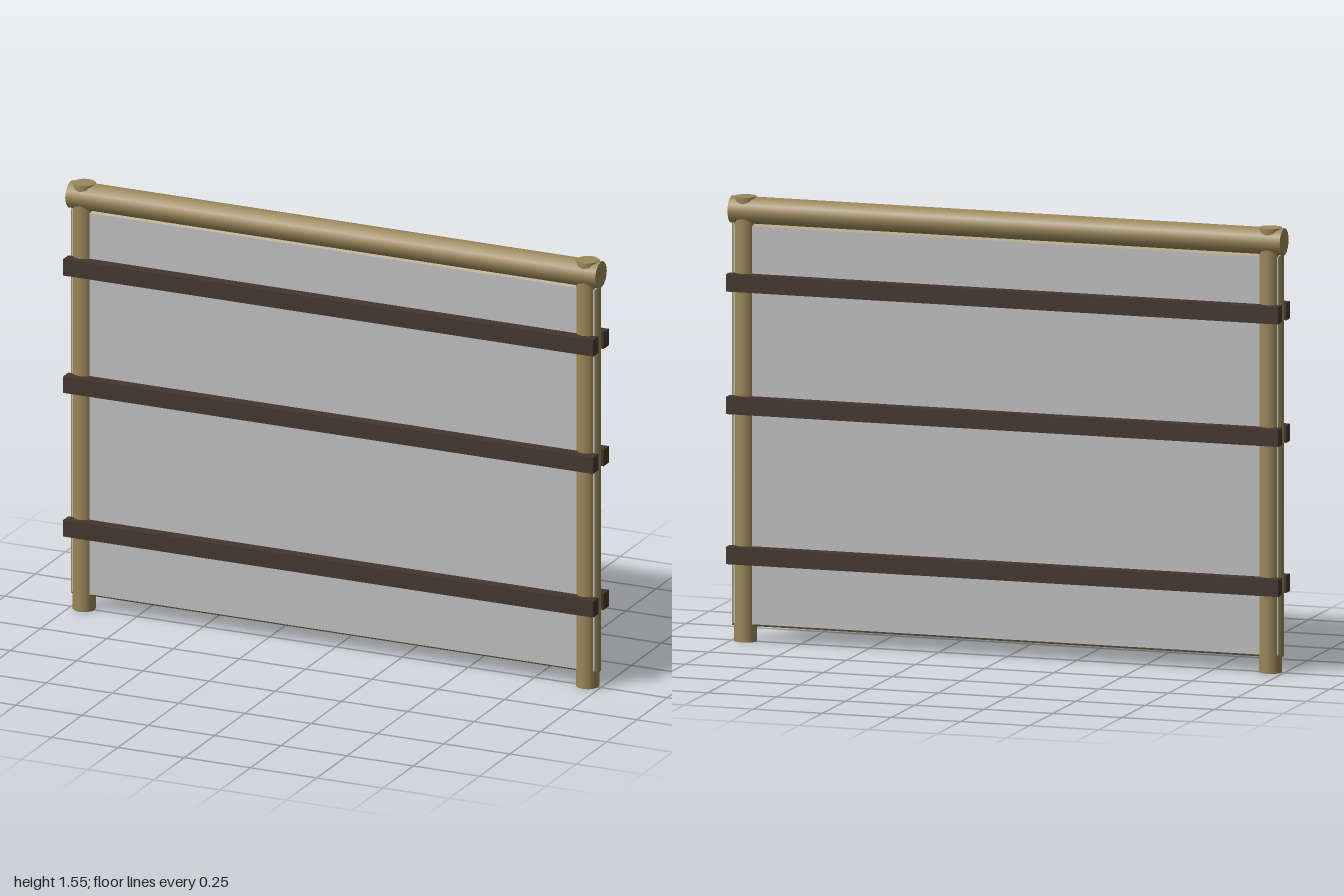
import * as THREE from 'three';

const material = (name, color) => {
  const m = new THREE.MeshStandardMaterial({ color });
  m.name = name;
  return m;
};

export function createModel() {
  const group = new THREE.Group();
  const wood = material('tan wood', 0x9b875a);
  const darkWood = material('dark wood', 0x45362f);
  const panelGrey = material('panel grey', 0xc0c0c0);

  const add = (name, geometry, mat, x, y, z) => {
    const mesh = new THREE.Mesh(geometry, mat);
    mesh.name = name;
    mesh.position.set(x, y, z);
    group.add(mesh);
    return mesh;
  };

  // round posts, standing on the ground
  const postGeometry = new THREE.CylinderGeometry(0.04, 0.04, 1.55, 12);
  for (const side of [-1, 1]) {
    add(side > 0 ? 'leftPost' : 'rightPost', postGeometry, wood, side * 0.95, 0.775, 0);
  }

  // round top rail
  const railGeometry = new THREE.CylinderGeometry(0.048, 0.048, 2, 12).rotateZ(Math.PI / 2);
  add('topRail', railGeometry, wood, 0, 1.502, 0);

  // bevelled core of the wall panel
  const bevel = 0.008;
  const w = 0.994 - bevel, h = 0.702 - bevel;
  const outline = new THREE.Shape();
  outline.moveTo(-w, -h).lineTo(w, -h).lineTo(w, h).lineTo(-w, h).closePath();
  const coreGeometry = new THREE.ExtrudeGeometry(outline, {
    depth: 0.028, bevelEnabled: true, bevelSize: bevel, bevelThickness: bevel, bevelSegments: 1,
  });
  coreGeometry.translate(0, 0, -0.014);
  add('panelCore', coreGeometry, wood, 0, 0.757, 0);

  // thin grey facing on each side, and dark battens across it
  const facingGeometry = new THREE.BoxGeometry(2 * w, 2 * h, 0.004);
  const battenGeometry = new THREE.BoxGeometry(2, 0.06, 0.043);
  for (const side of [-1, 1]) {
    const face = side > 0 ? 'front' : 'back';
    add(face + 'Facing', facingGeometry, panelGrey, 0, 0.757, side * 0.0215);
    for (const y of [0.305, 0.828, 1.255]) {
      add(face + 'Batten', battenGeometry, darkWood, 0, y, side * 0.0435);
    }
  }

  return group;
}
